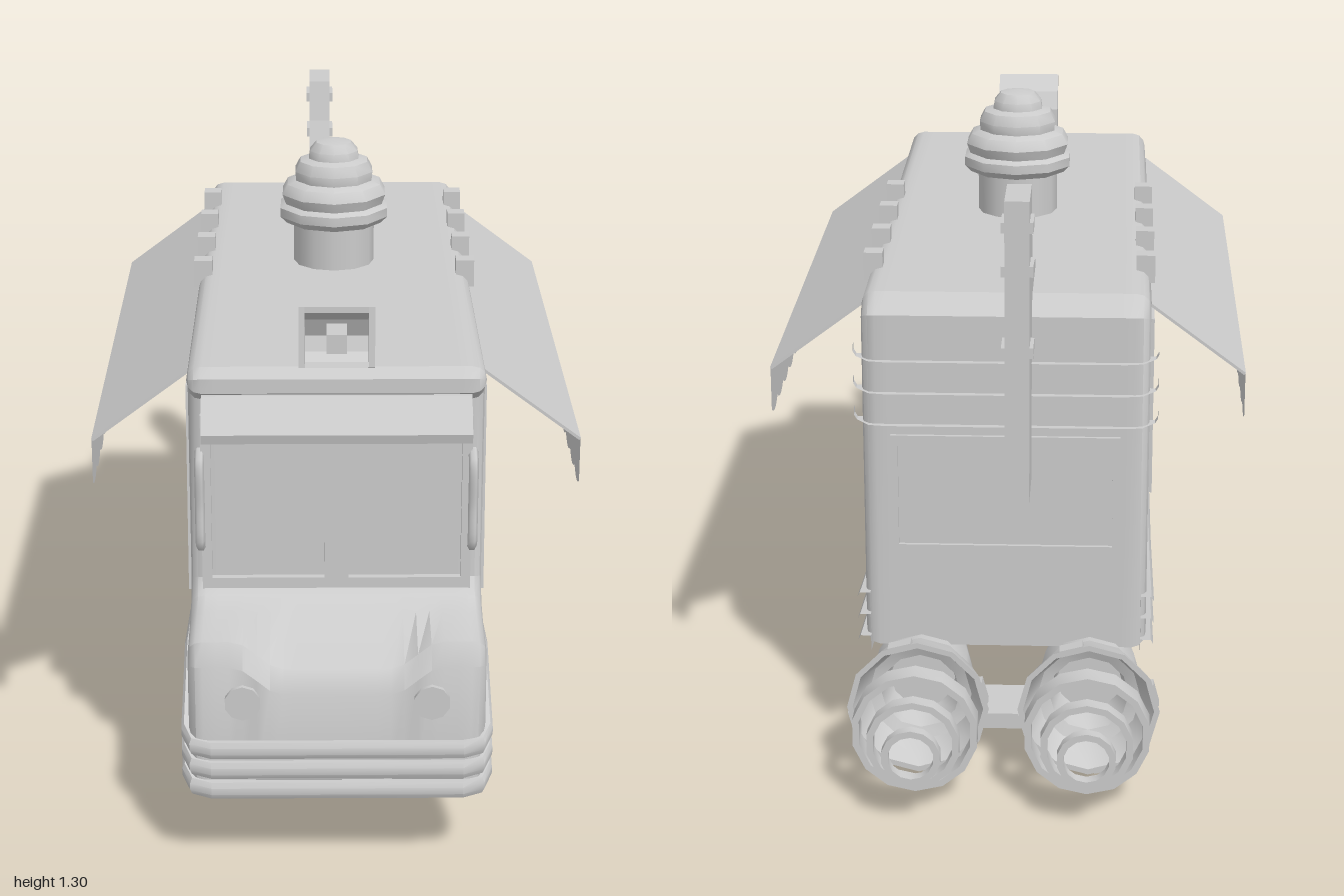
import * as THREE from 'three';
import { toCreasedNormals } from 'three/addons/utils/BufferGeometryUtils.js';

const grey = new THREE.MeshStandardMaterial({ color: 0xcccccc });
const sheet = new THREE.MeshStandardMaterial({ color: 0xcccccc, side: THREE.DoubleSide });

const poly = (pts) => new THREE.Shape(pts.map(([a, b]) => new THREE.Vector2(a, b)));
const rect = (x0, y0, x1, y1) => [[x0, y0], [x1, y0], [x1, y1], [x0, y1]];

// Outline with optional holes, as a flat plate centred on its thickness
function plate(outline, depth, holes = [], bevel = 0, steps = 1) {
  const shape = poly(outline);
  holes.forEach((h) => shape.holes.push(poly(h)));
  const g = new THREE.ExtrudeGeometry(shape, {
    depth: depth - 2 * bevel, steps, bevelEnabled: bevel > 0,
    bevelThickness: bevel, bevelSize: bevel, bevelOffset: -bevel, bevelSegments: 3,
  });
  return g.translate(0, 0, bevel - depth / 2);
}

// Outline given as [z, y], thickness along x
const sidePlate = (...args) => plate(...args).rotateY(-Math.PI / 2);

// Rectangular strip swept along a path of {p: [x, y, z], n: outward [x, z]}
function strip(path, thick, half) {
  const pos = [], idx = [];
  path.forEach(({ p, n }) => {
    [[-0.01, -half], [thick * 0.7, -half], [thick, -half * 0.4], [thick, half * 0.4], [thick * 0.7, half], [-0.01, half]]
      .forEach(([o, h]) => pos.push(p[0] + n[0] * o, p[1] + h, p[2] + n[1] * o));
  });
  for (let i = 0; i < path.length - 1; i++) {
    for (let j = 0; j < 6; j++) {
      const a = i * 6 + j, b = i * 6 + (j + 1) % 6;
      idx.push(a, b, a + 6, b, b + 6, a + 6);
    }
  }
  const g = new THREE.BufferGeometry();
  g.setAttribute('position', new THREE.Float32BufferAttribute(pos, 3));
  g.setIndex(idx);
  return toCreasedNormals(g, 0.5);
}

export function createModel() {
  const model = new THREE.Group();
  const add = (name, geo, x = 0, y = 0, z = 0, mat = grey) => {
    const m = new THREE.Mesh(geo, mat);
    m.name = name;
    m.position.set(x, y, z);
    model.add(m);
    return m;
  };
  const box = (name, w, h, d, x, y, z) => add(name, new THREE.BoxGeometry(w, h, d), x, y, z);
  const lathe = (pts, n) => toCreasedNormals(
    new THREE.LatheGeometry(pts.map(([r, y]) => new THREE.Vector2(r, y)), n), 0.7);

  // Body: side profile across the width, with a dip in the middle of the bonnet
  const body = sidePlate([
    [-0.64, 0.25], [-0.17, 0.18], [0.3, 0.18], [0.52, 0.25], [0.75, 0.29], [0.95, 0.18], [0.985, 0.21],
    [0.985, 0.46], [0.96, 0.505], [0.84, 0.515], [0.79, 0.53], [0.765, 0.56], [0.765, 0.95], [0.815, 0.98],
    [0.815, 1.01], [0.795, 1.03], [-0.6, 1.03], [-0.64, 0.99],
  ], 0.6, [], 0.03, 20);
  const bp = body.attributes.position;
  for (let i = 0; i < bp.count; i++) {
    if (bp.getZ(i) > 0.88 && bp.getY(i) > 0.4) {
      const dip = 1 - THREE.MathUtils.smoothstep(Math.abs(bp.getX(i)), 0.11, 0.21);
      bp.setY(i, bp.getY(i) - 0.06 * dip);
    }
  }
  add('body', toCreasedNormals(body, 0.6));

  // Windscreen frame with two panes, and the visor above
  add('windscreenFrame', plate(rect(-0.275, 0.54, 0.275, 0.92), 0.03,
    [rect(-0.255, 0.565, -0.025, 0.89), rect(0.025, 0.565, 0.255, 0.89)]), 0, 0, 0.765);
  add('visor', sidePlate([[0.76, 0.89], [0.86, 0.89], [0.865, 0.91], [0.815, 0.975], [0.76, 0.975]], 0.54));

  // Trim bands along both flanks and round the nose
  const flank = [[-0.65, 0.355], [-0.17, 0.295], [0.3, 0.295], [0.52, 0.365], [0.75, 0.395], [0.95, 0.3]];
  for (let k = 0; k < 3; k++) {
    const drop = (z) => k * (z > 0.9 ? 0.045 : 0.05);
    const left = flank.map(([z, y]) => ({ p: [0.298, y - drop(z), z], n: [1, 0] }));
    left.push({ p: [0.285, 0.285 - drop(1), 0.975], n: [0.75, 0.66] }, { p: [0.255, 0.28 - drop(1), 0.983], n: [0, 1] });
    const right = left.map(({ p, n }) => ({ p: [-p[0], p[1], p[2]], n: [-n[0], n[1]] })).reverse();
    add('trimBand', strip([...left, ...right], 0.018, 0.018));

    // Short bands round the upper rear corners
    const y = 0.91 - k * 0.07;
    const half = [[0.298, -0.595, 1, 0], [0.298, -0.615, 1, 0], [0.275, -0.638, 0.7, -0.7], [0.25, -0.64, 0, -1]];
    const rear = [
      ...half.map(([x, z, a, b]) => ({ p: [-x, y, z], n: [-a, b] })),
      ...half.reverse().map(([x, z, a, b]) => ({ p: [x, y, z], n: [a, b] })),
    ];
    add('rearBand', strip(rear.reverse(), 0.02, 0.017));
  }

  // Rear panel
  add('rearPanelFrame', plate(rect(-0.24, 0.47, 0.24, 0.73), 0.016, [rect(-0.225, 0.485, 0.225, 0.715)]), 0, 0, -0.64);

  // Scalloped awning valance outline in [z, y]
  const z0 = -0.54, z1 = 0.7, scallops = 13, step = (z1 - z0) / scallops;
  const valance = new THREE.Shape();
  valance.moveTo(z0, 0.84).lineTo(z0, 0.745);
  for (let i = 0; i < scallops; i++) {
    valance.quadraticCurveTo(z0 + (i + 0.5) * step, 0.715, z0 + (i + 1) * step, 0.745);
  }
  valance.lineTo(z1, 0.84);

  for (const s of [1, -1]) {
    // Awning
    const slope = Math.hypot(0.2, 0.15);
    const top = add('awningTop', new THREE.BoxGeometry(slope, 0.006, z1 - z0), s * 0.4, 0.913, 0.08);
    top.rotation.z = -s * Math.atan2(0.15, 0.2);
    add('awningValance', new THREE.ShapeGeometry(valance, 6).rotateY(-Math.PI / 2), s * 0.501, 0, 0, sheet);

    // Door window, side window and serving hatch
    add('doorWindow', sidePlate([[0.735, 0.52], [0.61, 0.54], [0.61, 0.95], [0.71, 0.96]], 0.012,
      [[[0.72, 0.535], [0.625, 0.552], [0.625, 0.935], [0.698, 0.945]]]), s * 0.3);
    add('sideWindow', sidePlate([[0.53, 0.555], [0.29, 0.575], [0.3, 0.9], [0.51, 0.9]], 0.012,
      [[[0.517, 0.57], [0.303, 0.588], [0.312, 0.887], [0.5, 0.887]]]), s * 0.3);
    add('hatchFrame', sidePlate(rect(-0.52, 0.56, 0.17, 0.95), 0.018, [rect(-0.5, 0.58, 0.15, 0.93)]), s * 0.3);
    box('hatchPanel', 0.008, 0.17, 0.6, s * 0.3, 0.68, -0.175);

    // Roof clips
    for (const z of [0.16, -0.03, -0.22, -0.41]) box('roofClip', 0.04, 0.06, 0.04, s * 0.29, 1.032, z);

    // Grab handle
    const grip = new THREE.CatmullRomCurve3([[0.765, 0.63], [0.795, 0.645], [0.797, 0.73], [0.795, 0.825], [0.765, 0.84]]
      .map(([z, y]) => new THREE.Vector3(s * 0.277, y, z)));
    add('grabHandle', new THREE.TubeGeometry(grip, 16, 0.01, 6));

    // Headlight
    add('headlight', new THREE.CylinderGeometry(0.037, 0.037, 0.02, 10).rotateX(Math.PI / 2), s * 0.19, 0.385, 0.985);

    // Front lift pod with its pipe
    add('liftPod', lathe([[0, 0], [0.09, 0], [0.105, 0.015], [0.105, 0.205], [0.09, 0.22], [0, 0.22]], 14)
      .rotateX(Math.PI / 2), s * 0.175, 0.185, 0.54);
    const pipe = new THREE.CatmullRomCurve3([[0.56, 0.185], [0.44, 0.175], [0.34, 0.145], [0.16, 0.132], [0, 0.12], [-0.06, 0.15], [-0.16, 0.21]]
      .map(([z, y]) => new THREE.Vector3(s * 0.17, y, z)), false, 'catmullrom', 0.25);
    add('pipe', new THREE.TubeGeometry(pipe, 24, 0.025, 8));
    add('pipeCollar', new THREE.CylinderGeometry(0.032, 0.032, 0.06, 8).rotateX(Math.PI / 2), s * 0.17, 0.18, 0.52);

    // Rear thruster: closed nose, hollow flared nozzle, three floating rings
    const toRear = (g) => g.rotateX(-Math.PI / 2);
    add('thruster', toRear(lathe([[0, 0.42], [0.06, 0.425], [0.085, 0.45], [0.11, 0.6], [0.11, 0.685], [0.125, 0.69],
      [0.15, 0.77], [0.138, 0.77], [0.11, 0.7], [0.085, 0.69], [0.07, 0.62], [0, 0.62]], 12)), s * 0.18, 0.163, 0, sheet);
    for (let i = 0; i < 12; i += 3) {
      const a = (i + 0.5) * Math.PI / 6;
      const tab = box('nozzleTab', 0.05, 0.014, 0.03, s * 0.18 + Math.sin(a) * 0.14, 0.163 + Math.cos(a) * 0.14, -0.755);
      tab.rotation.z = -a;
    }
    [[0.132, 0.84, 0.89], [0.097, 0.91, 0.942], [0.061, 0.975, 0.998]].forEach(([r, a, b]) => {
      const t = r - 0.014;
      add('thrustRing', toRear(lathe([[t, a], [r, a], [r, b], [t, b], [t, a]], 14)), s * 0.178, 0.163, 0, sheet);
    });
  }

  // Rear skid under the thrusters
  add('rearSkid', plate([[-0.245, 0.005], [-0.06, 0.065], [0.06, 0.065], [0.245, 0.005], [0.25, 0.035],
    [0.07, 0.1], [-0.07, 0.1], [-0.25, 0.035]], 0.14), 0, 0, -0.595);

  // Tail fin with small rungs
  add('tailFin', sidePlate([[-0.42, 1.02], [-0.62, 1.02], [-0.63, 0.64], [-0.79, 0.64], [-0.79, 1.275], [-0.655, 1.275],
    [-0.635, 1.18], [-0.605, 1.1], [-0.56, 1.065], [-0.42, 1.05]], 0.05), -0.03);
  for (const y of [1.22, 1.13, 0.96]) box('finRung', 0.065, 0.022, 0.07, -0.03, y, -0.752);

  // Rooftop swirl on a round base
  add('swirlBase', new THREE.CylinderGeometry(0.09, 0.09, 0.13, 12), 0, 1.075, 0.06);
  add('swirl', lathe([[0, 1.12], [0.11, 1.125], [0.125, 1.14], [0.125, 1.16], [0.112, 1.168], [0.12, 1.19], [0.108, 1.212],
    [0.088, 1.22], [0.09, 1.24], [0.078, 1.262], [0.058, 1.268], [0.055, 1.285], [0.04, 1.303], [0, 1.31]], 10), 0, 0, 0.06);

  // Roof lamp: mounting block, hooded scoop and bulb
  box('lampMount', 0.15, 0.08, 0.035, 0, 1.065, 0.757);
  const scoop = [[0.85, 1.172], [0.79, 1.14], [0.765, 1.09], [0.78, 1.05], [0.81, 1.032], [0.86, 1.05]];
  for (const s of [1, -1]) add('lampCheek', sidePlate(scoop, 0.012), s * 0.069);
  const inner = [[0.81, 1.045], [0.79, 1.06], [0.78, 1.09], [0.8, 1.13], [0.85, 1.16]];
  add('lampHood', sidePlate([...scoop.slice(0, 5), [0.86, 1.05], [0.855, 1.06], ...inner], 0.14));
  box('lampBulb', 0.04, 0.04, 0.09, 0, 1.1, 0.82);

  return model;
}
